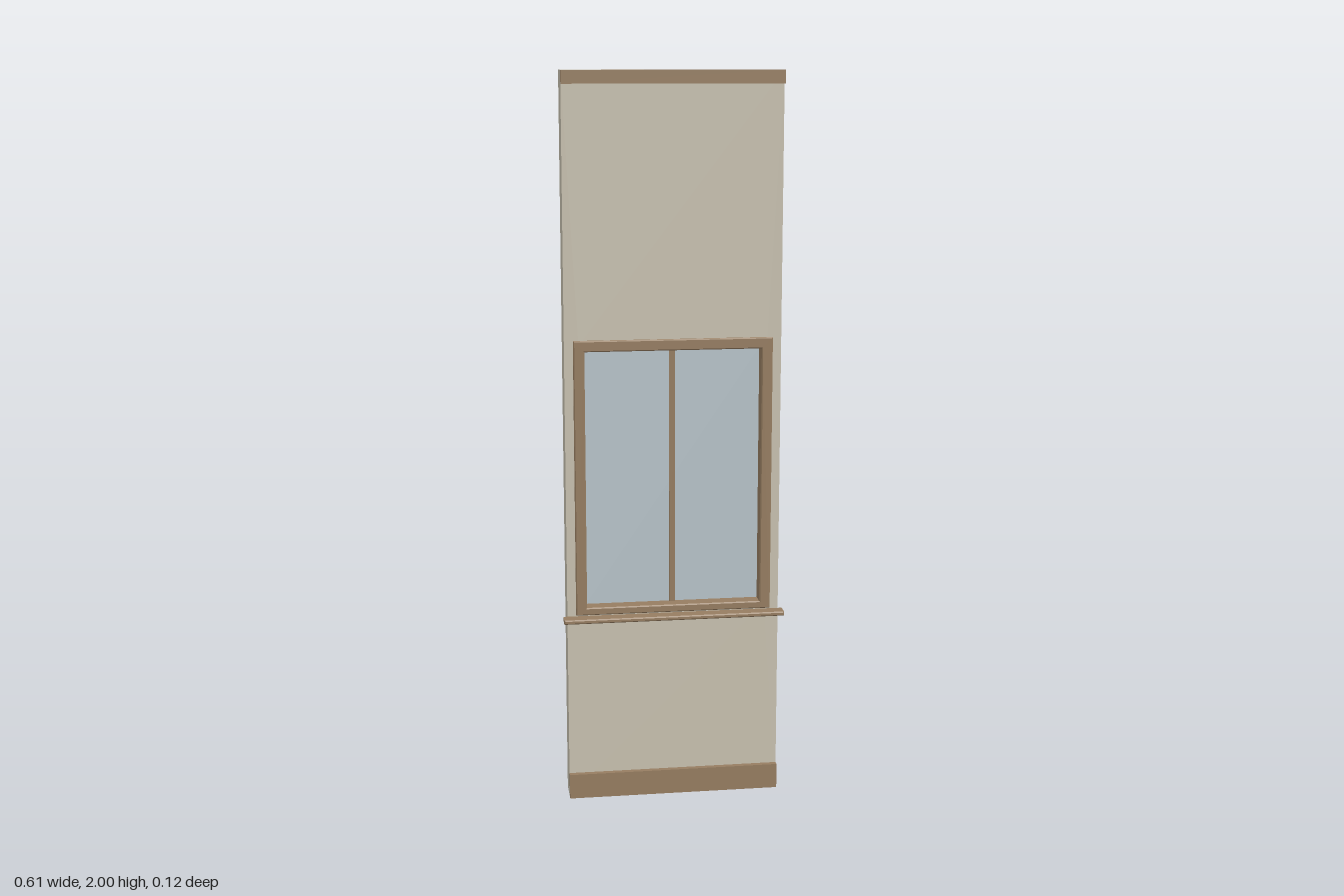
import * as THREE from 'three';

const wallPaint = new THREE.MeshStandardMaterial({ name: 'wallPaint', color: 0xc8c1b0 });
const wood = new THREE.MeshStandardMaterial({ name: 'wood', color: 0x967d61 });
const glass = new THREE.MeshStandardMaterial({ name: 'glass', color: 0xb8c4ca });

// Traces a rectangle into a Shape or Path
function rect(target, x0, y0, x1, y1) {
  target.moveTo(x0, y0);
  target.lineTo(x1, y0);
  target.lineTo(x1, y1);
  target.lineTo(x0, y1);
  target.closePath();
  return target;
}

// Rectangle [x0, y0, x1, y1] with an optional opening, from z0 to z1, edges chamfered by bevel
function panel(name, material, outer, hole, z0, z1, bevel = 0) {
  const shape = rect(new THREE.Shape(), ...outer);
  if (hole) shape.holes.push(rect(new THREE.Path(), ...hole));
  const geometry = new THREE.ExtrudeGeometry(shape, {
    depth: z1 - z0 - 2 * bevel,
    bevelEnabled: bevel > 0,
    bevelThickness: bevel,
    bevelSize: bevel,
    bevelOffset: -bevel,
    bevelSegments: 1,
  });
  geometry.translate(0, 0, z0 + bevel);
  const mesh = new THREE.Mesh(geometry, material);
  mesh.name = name;
  return mesh;
}

export function createModel() {
  const model = new THREE.Group();
  model.name = 'windowWallPanel';

  const halfWidth = 0.294;
  const back = -0.055;
  const front = 0.018;

  // Wall with window opening
  model.add(panel('wall', wallPaint, [-halfWidth, 0, halfWidth, 2], [-0.255, 0.545, 0.255, 1.28], back, front));

  // Trim along the foot and head of the wall
  model.add(panel('baseboard', wood, [-halfWidth, 0, halfWidth, 0.07], null, front, 0.033));
  model.add(panel('cornice', wood, [-halfWidth, 1.965, halfWidth, 2], null, front, 0.033));

  // Window: frame through the wall, centre bar, pane and sill
  const window = new THREE.Group();
  window.name = 'window';
  window.add(panel('frame', wood, [-0.27, 0.533, 0.27, 1.295], [-0.24, 0.554, 0.24, 1.265], -0.059, 0.027, 0.003));
  window.add(panel('mullion', wood, [-0.008, 0.553, 0.008, 1.266], null, -0.027, -0.007));
  window.add(panel('pane', glass, [-0.241, 0.553, 0.241, 1.266], null, -0.02, -0.014));
  window.add(panel('sill', wood, [-0.305, 0.518, 0.305, 0.53], null, front - 0.001, 0.057, 0.003));
  model.add(window);

  return model;
}
